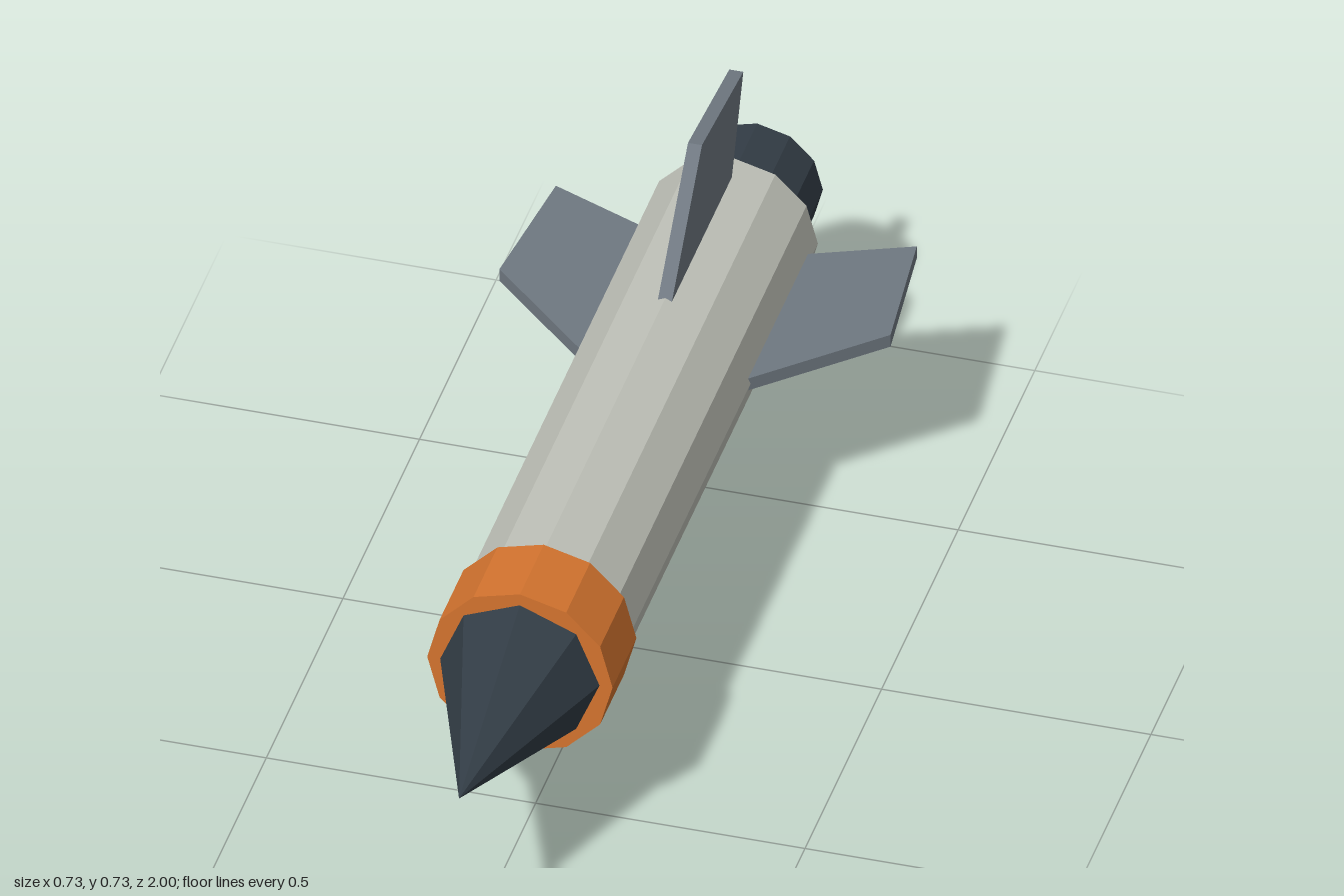
import * as THREE from 'three';

const AXIS_Y = 0.363; // height of the long axis

function material(name, color) {
  const m = new THREE.MeshStandardMaterial({ color, flatShading: true });
  m.name = name;
  return m;
}

export function createModel() {
  const grey = material('pale grey', 0xbfc1b8);
  const orange = material('orange', 0xd4742f);
  const dark = material('dark slate', 0x323c45);
  const steel = material('steel grey', 0x6f7881);
  const teal = material('teal', 0x35b4c4);

  const model = new THREE.Group();
  model.name = 'rocket';

  const add = (name, geometry, mat) => {
    const mesh = new THREE.Mesh(geometry, mat);
    mesh.name = name;
    mesh.position.y = AXIS_Y;
    model.add(mesh);
    return mesh;
  };

  // Faceted section along z, from the back end to the front end
  const section = (name, back, front, rBack, rFront, sides, mat) => {
    const g = new THREE.CylinderGeometry(rFront, rBack, front - back, sides);
    g.rotateX(Math.PI / 2);
    g.translate(0, 0, (back + front) / 2);
    return add(name, g, mat);
  };

  section('body', -0.787, 0.5, 0.158, 0.158, 12, grey);
  section('collar', 0.447, 0.603, 0.172, 0.172, 12, orange);
  section('nozzle', -0.946, -0.811, 0.122, 0.122, 12, dark);
  section('exhaust', -1, -0.94, 0.072, 0.072, 10, teal);

  // Eight-sided nose cone
  const nose = new THREE.ConeGeometry(0.149, 0.4, 8);
  nose.rotateX(Math.PI / 2);
  nose.translate(0, 0, 0.8);
  add('noseCone', nose, dark);

  // Four swept fins, drawn as radius against z
  const outline = new THREE.Shape([
    new THREE.Vector2(0.14, -0.33),
    new THREE.Vector2(0.14, -0.729),
    new THREE.Vector2(0.335, -0.81),
    new THREE.Vector2(0.363, -0.54),
  ]);
  const fin = new THREE.ExtrudeGeometry(outline, { depth: 0.026, bevelEnabled: false });
  fin.translate(0, 0, -0.013);
  fin.rotateX(Math.PI / 2);
  ['leftFin', 'topFin', 'rightFin', 'bottomFin'].forEach((name, i) => {
    add(name, fin, steel).rotation.z = (i * Math.PI) / 2;
  });

  return model;
}
